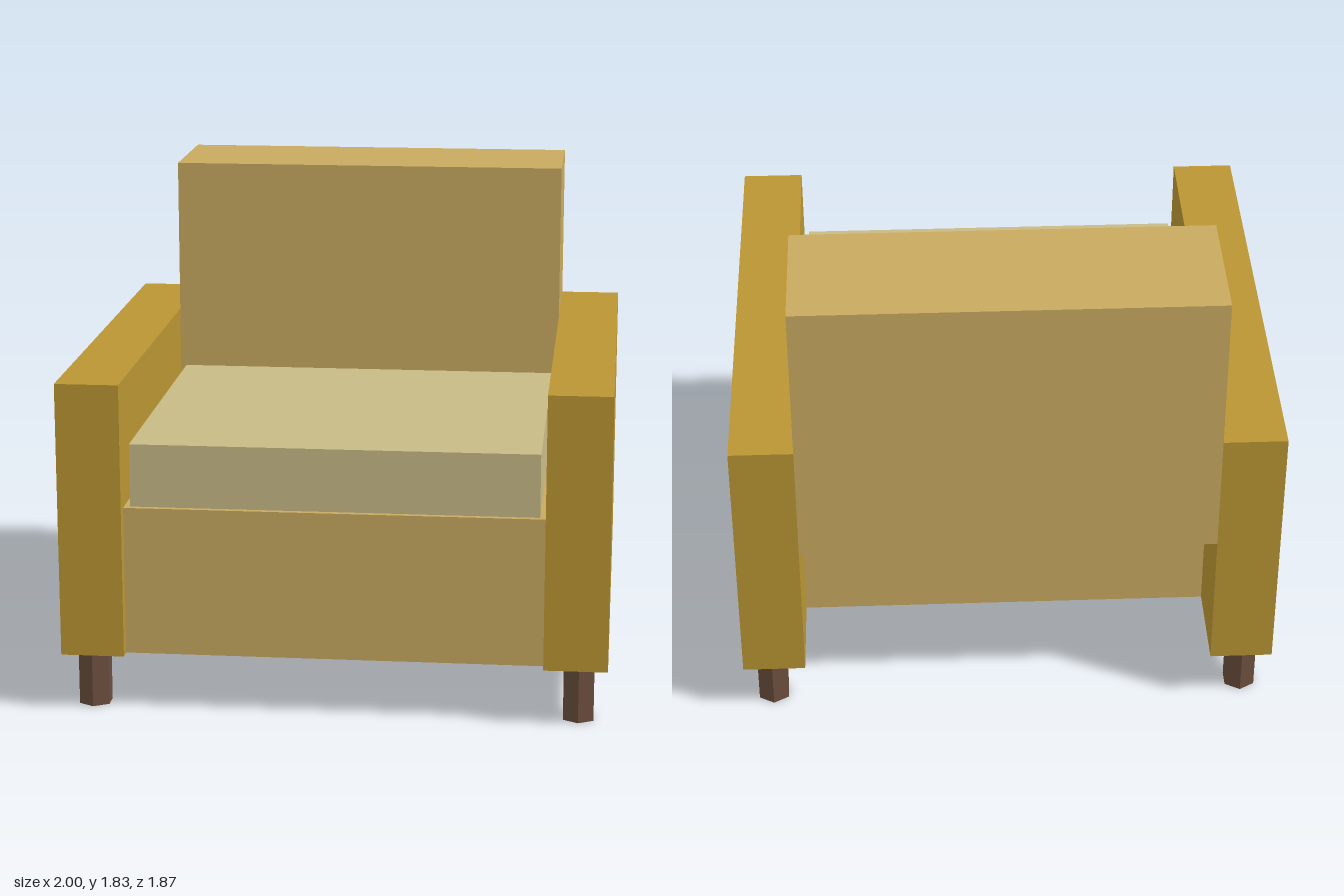
import * as THREE from 'three';

const mat = (name, color) => {
  const m = new THREE.MeshStandardMaterial({ color });
  m.name = name;
  return m;
};

export function createModel() {
  const armColor = mat('mustard', 0xb99532);
  const bodyColor = mat('tan', 0xc8aa60);
  const cushionColor = mat('pale sand', 0xc8ba86);
  const legColor = mat('dark wood', 0x6a4e3d);
  legColor.flatShading = true;

  const chair = new THREE.Group();
  chair.name = 'armchair';

  // box given by its extents along each axis
  const block = (name, material, [x0, x1], [y0, y1], [z0, z1]) => {
    const mesh = new THREE.Mesh(new THREE.BoxGeometry(x1 - x0, y1 - y0, z1 - z0), material);
    mesh.position.set((x0 + x1) / 2, (y0 + y1) / 2, (z0 + z1) / 2);
    mesh.name = name;
    chair.add(mesh);
  };

  // body: base set in from the rear, backrest overhanging it, loose cushion
  block('seatBase', bodyColor, [-0.767, 0.767], [0.213, 0.766], [-0.59, 0.888]);
  block('backrest', bodyColor, [-0.767, 0.767], [0.766, 1.83], [-0.935, -0.427]);
  block('seatCushion', cushionColor, [-0.745, 0.745], [0.766, 1.0], [-0.427, 0.867]);

  // arms and six-sided legs, mirrored left and right
  const legGeometry = new THREE.CylinderGeometry(0.064, 0.064, 0.213, 6);
  for (const [side, s] of [['left', 1], ['right', -1]]) {
    const xs = [s * 0.767, s * 1].sort((a, b) => a - b);
    block(side + 'Arm', armColor, xs, [0.213, 1.234], [-0.935, 0.935]);

    for (const [end, z] of [['Front', 0.828], ['Back', -0.828]]) {
      const leg = new THREE.Mesh(legGeometry, legColor);
      leg.position.set(s * 0.895, 0.1065, z);
      leg.name = side + end + 'Leg';
      chair.add(leg);
    }
  }
  return chair;
}
